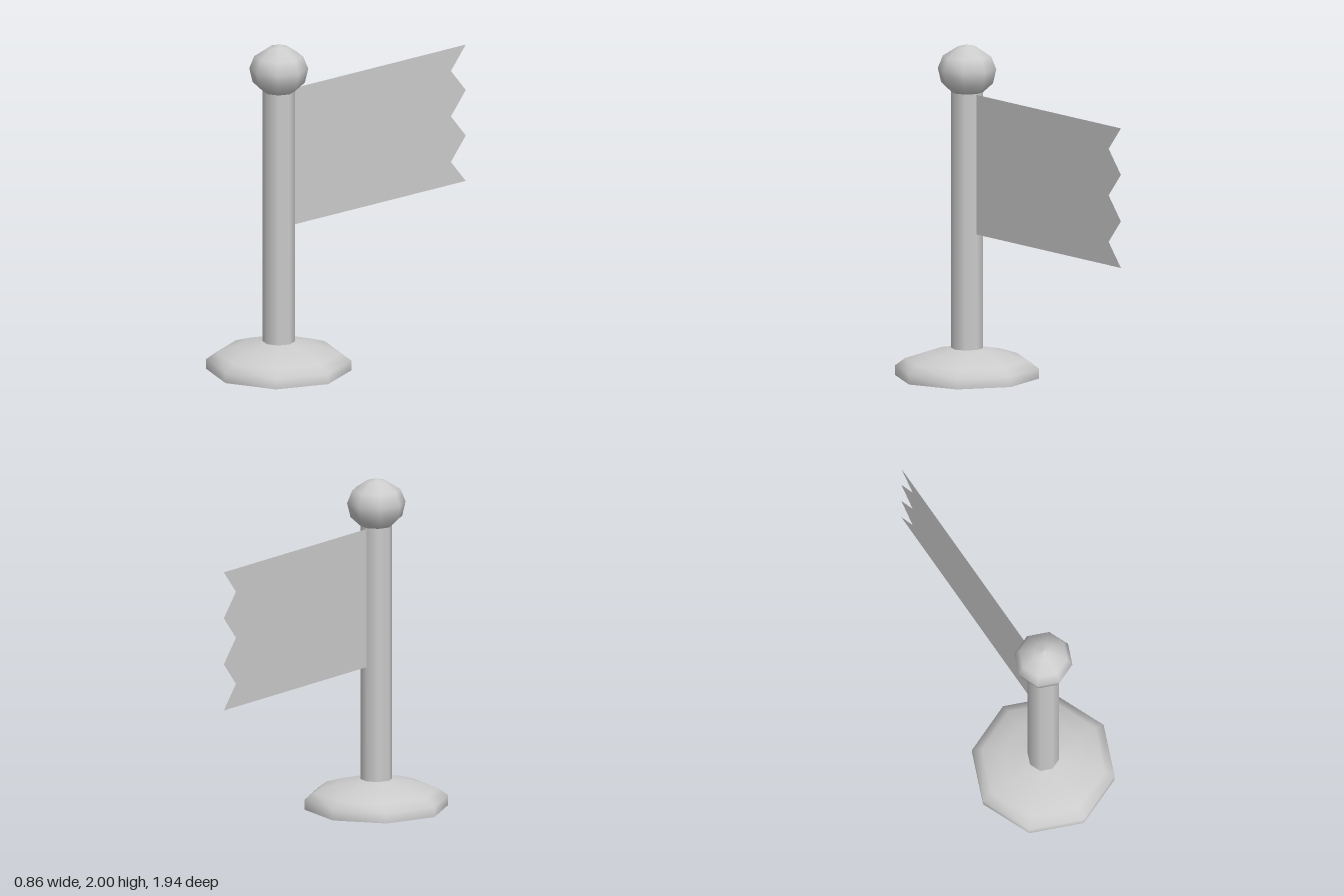
import * as THREE from 'three';

const SIDES = 8;      // octagonal cross-section
const POLE_Z = 0.54;  // pole axis stands towards the front

export function createModel() {
  const group = new THREE.Group();
  const grey = new THREE.MeshStandardMaterial({ color: 0xcccccc, side: THREE.DoubleSide });
  grey.name = 'light grey';

  const add = (name, geometry, z = 0) => {
    const mesh = new THREE.Mesh(geometry, grey);
    mesh.name = name;
    mesh.position.z = z;
    group.add(mesh);
  };
  const turned = (name, profile) => add(name,
    new THREE.LatheGeometry(profile.map(([r, y]) => new THREE.Vector2(r, y)), SIDES), POLE_Z);

  // domed foot with a short upright rim, closed underneath
  turned('base', [[0.43, 0], [0.43, 0.06], [0.37, 0.105], [0.25, 0.145], [0.095, 0.175]]);
  turned('baseUnderside', [[0, 0], [0.43, 0]]);

  // straight pole
  turned('pole', [[0.095, 0.175], [0.095, 1.715]]);

  // ball on top
  turned('finial', [[0.095, 1.715], [0.155, 1.77], [0.175, 1.855], [0.145, 1.93], [0.06, 1.985], [0, 2]]);

  // flat flag flying backwards, with a zigzag trailing edge
  const top = 1.71, bottom = 0.87, teeth = 3;
  const flag = new THREE.Shape();
  flag.moveTo(-0.45, top);
  flag.lineTo(-0.45, bottom);
  for (let i = 0; i <= teeth * 2; i++) {
    flag.lineTo(i % 2 ? 0.85 : 0.97, bottom + (top - bottom) * i / (teeth * 2));
  }
  flag.closePath();
  add('flag', new THREE.ShapeGeometry(flag).rotateY(Math.PI / 2));

  return group;
}
